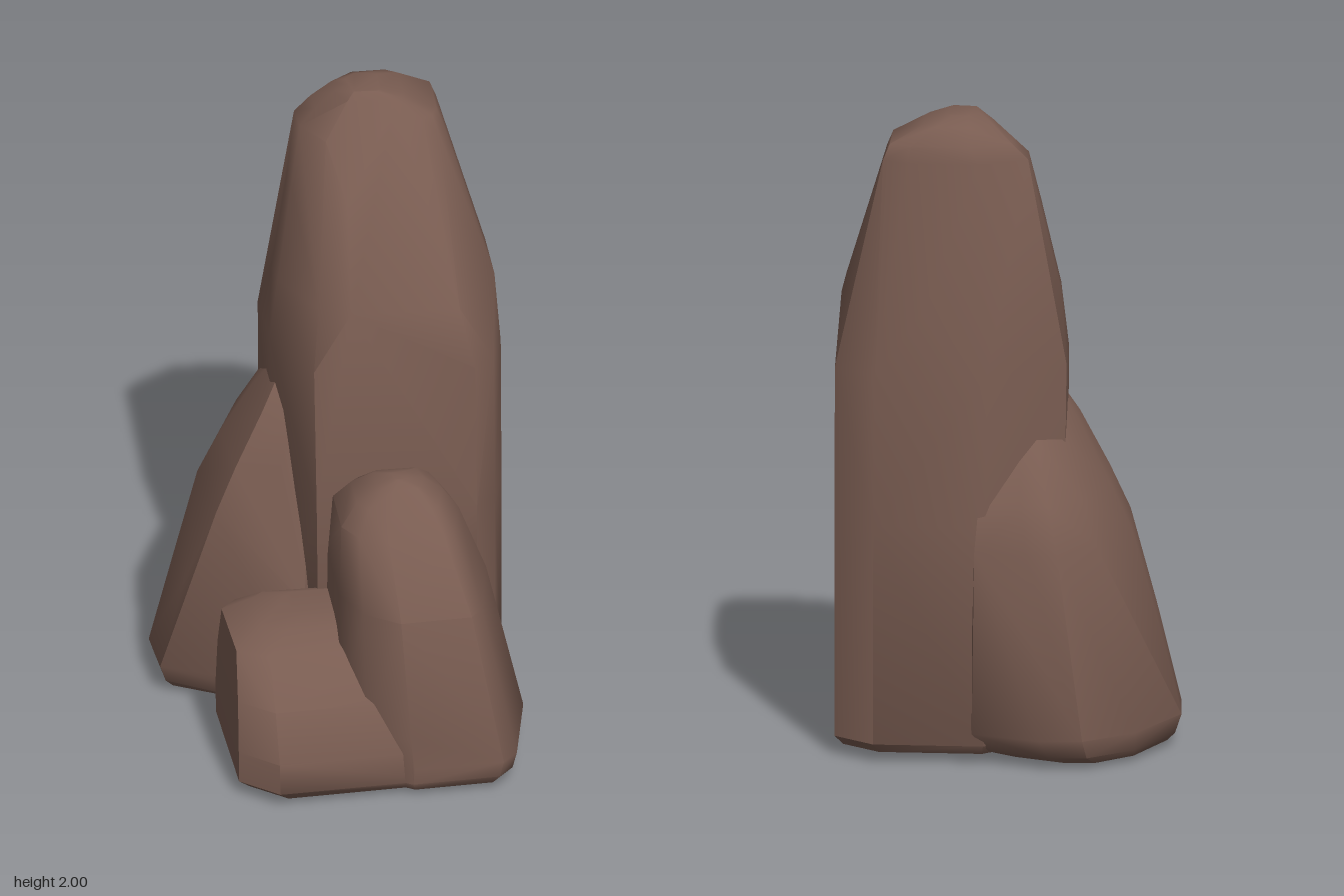
import * as THREE from 'three';
import { ConvexGeometry } from 'three/addons/geometries/ConvexGeometry.js';
import { toCreasedNormals } from 'three/addons/utils/BufferGeometryUtils.js';

const stone = new THREE.MeshStandardMaterial({ color: 0x795c51 });
stone.name = 'brownStone';

// A rock is an outline (0..1 in x and z) fitted into the bounds of each layer.
// layer: [y, xMin, xMax, zMin, zMax, own outline if it differs]
function rock(name, outline, layers) {
  const points = [];
  for (const [y, x0, x1, z0, z1, shape = outline] of layers) {
    for (const [u, v] of shape) {
      points.push(new THREE.Vector3(x0 + u * (x1 - x0), y, z0 + v * (z1 - z0)));
    }
  }
  const mesh = new THREE.Mesh(toCreasedNormals(new ConvexGeometry(points), 0.75), stone);
  mesh.name = name;
  return mesh;
}

export function createModel() {
  const group = new THREE.Group();
  group.name = 'rockCluster';

  // Tall pillar with a sloping front, worn rounder at the shoulder
  const shoulder = [[0, 0.45], [0.3, 0.05], [0.6, 0], [0.85, 0.12], [1, 0.35], [1, 0.68], [0.8, 1], [0.3, 0.98], [0.16, 0.9], [0.01, 0.6]];
  group.add(rock('tallRock',
    [[0, 0.26], [0.33, 0], [0.82, 0], [1, 0.13], [1, 0.77], [0.95, 0.92], [0.86, 1], [0.16, 0.94], [0.01, 0.58]],
    [
      [0.03, -0.16, 0.48, -0.52, 0.12],
      [0.06, -0.18, 0.505, -0.545, 0.15],
      [0.75, -0.19, 0.505, -0.55, 0.16],
      [1.22, -0.195, 0.505, -0.525, 0.13],
      [1.42, -0.17, 0.495, -0.51, 0.11, shoulder],
      [1.7, -0.115, 0.41, -0.475, -0.06, shoulder],
      [1.87, -0.08, 0.36, -0.455, -0.165],
      [1.92, -0.03, 0.34, -0.445, -0.195],
      [1.975, 0.03, 0.24, -0.41, -0.225],
      [2.0, 0.07, 0.17, -0.36, -0.245],
    ]));

  // Medium rock leaning against the back corner, boxier towards its top
  const boxy = [[0, 0.49], [0.2, 0.17], [0.45, 0.01], [0.66, 0], [1, 0.02], [1, 0.6], [0.6, 0.86], [0.4, 0.92], [0.05, 0.88]];
  group.add(rock('backRock',
    [[0, 0.49], [0.2, 0.17], [0.45, 0.01], [0.66, 0], [1, 0.1], [1, 0.75], [0.65, 1], [0.38, 0.88], [0.02, 0.73]],
    [
      [0, -0.47, -0.25, -0.4, -0.1],
      [0.015, -0.495, -0.05, -0.55, 0.02],
      [0.04, -0.52, 0.03, -0.59, 0.05],
      [0.1, -0.54, 0.08, -0.62, 0.08],
      [0.4, -0.465, 0.08, -0.61, 0.08],
      [0.68, -0.39, 0.07, -0.6, 0.05, boxy],
      [0.82, -0.325, 0.06, -0.545, 0.02, boxy],
      [1.0, -0.23, 0.04, -0.43, -0.03, boxy],
      [1.08, -0.18, 0, -0.32, -0.09, boxy],
    ]));

  // Peaked rock in front, with one front corner cut away
  group.add(rock('frontRock',
    [[0, 0.1], [0.1, 0], [0.9, 0], [1, 0.45], [0.9, 0.9], [0.82, 0.98], [0.35, 1], [0.12, 0.87], [0, 0.65]],
    [
      [0.02, -0.02, 0.49, 0.02, 0.59],
      [0.05, -0.05, 0.52, -0.01, 0.61],
      [0.1, -0.05, 0.535, -0.02, 0.61],
      [0.2, -0.05, 0.505, -0.01, 0.605],
      [0.6, -0.045, 0.42, 0.02, 0.575],
      [0.8, -0.03, 0.34, 0.09, 0.43],
      [0.87, 0.02, 0.29, 0.14, 0.37],
      [0.92, 0.08, 0.23, 0.19, 0.32],
      [0.94, 0.13, 0.18, 0.24, 0.29],
    ]));

  // Low rock joined to the side of the front rock
  group.add(rock('lowRock',
    [[0, 0.14], [0.09, 0], [1, 0], [1, 0.96], [0.2, 1], [0.02, 0.84]],
    [
      [0.02, -0.35, 0.25, 0.03, 0.59],
      [0.05, -0.385, 0.25, 0.01, 0.615],
      [0.15, -0.385, 0.24, 0, 0.61],
      [0.3, -0.38, 0.2, 0.02, 0.55],
      [0.42, -0.37, 0.16, 0.06, 0.42],
      [0.465, -0.28, 0.12, 0.1, 0.34],
      [0.475, -0.18, 0.08, 0.13, 0.28],
    ]));

  return group;
}
